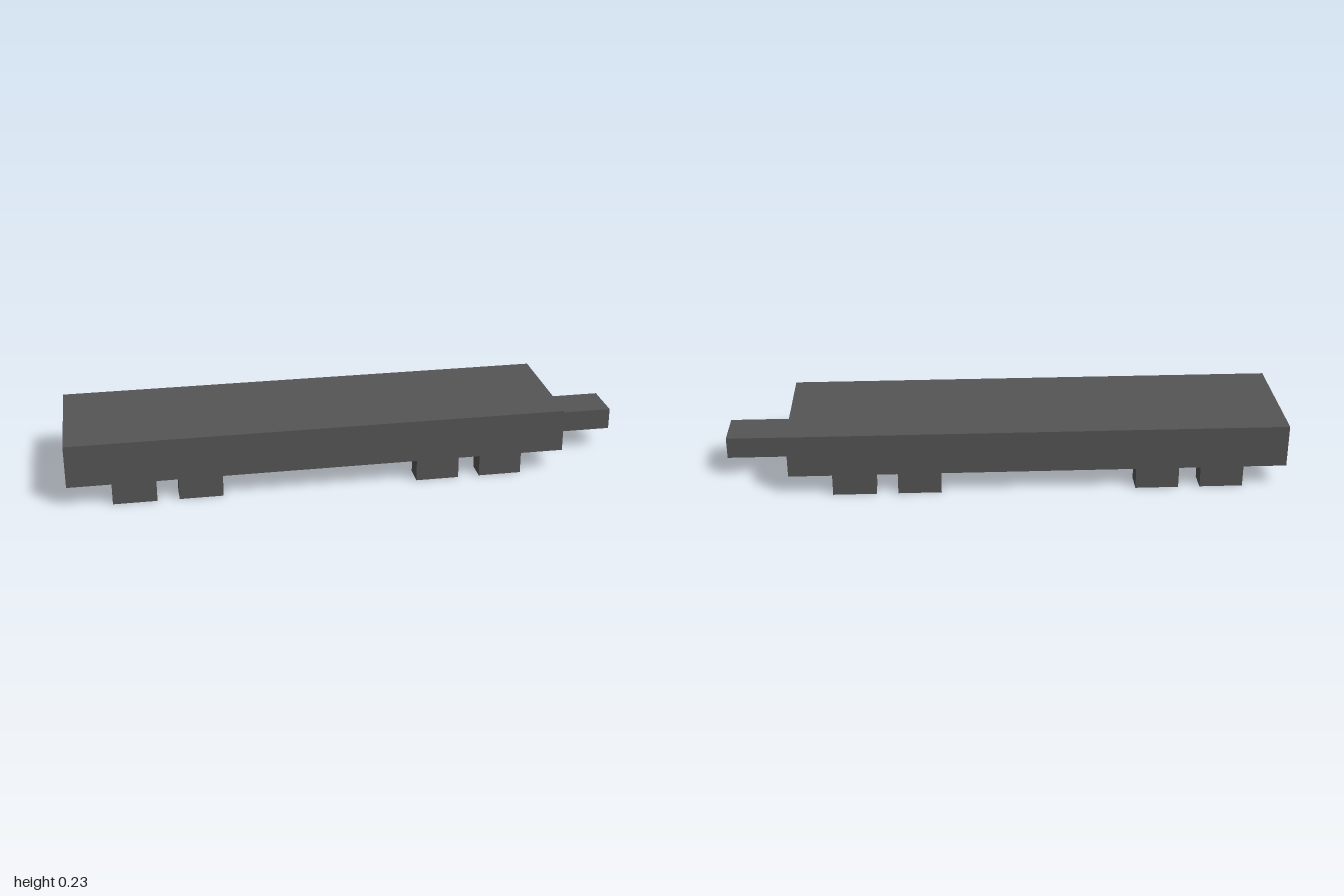
import * as THREE from 'three';

const U = 1 / 13; // modelling unit: the whole model is 26 units long

export function createModel() {
  const model = new THREE.Group();
  model.name = 'flatWagon';
  const darkGrey = new THREE.MeshStandardMaterial({ color: 0x555555 });
  darkGrey.name = 'darkGrey';

  // Box given by its lower corner and its size, in units
  const addBox = (name, x, y, z, w, h, d) => {
    const mesh = new THREE.Mesh(new THREE.BoxGeometry(w * U, h * U, d * U), darkGrey);
    mesh.name = name;
    mesh.position.set((x + w / 2) * U, (y + h / 2) * U, (z + d / 2) * U);
    model.add(mesh);
  };

  // Flat deck and the coupling bar at its +x end
  addBox('deck', -13, 1, -3, 23, 2, 6);
  addBox('coupler', 10, 1, -1, 3, 1, 2);

  // Two pairs of block wheels on each side
  for (const x of [-11, -8, 3, 6]) {
    addBox('frontWheel', x, 0, 2, 2, 1, 1);
    addBox('backWheel', x, 0, -3, 2, 1, 1);
  }
  return model;
}
